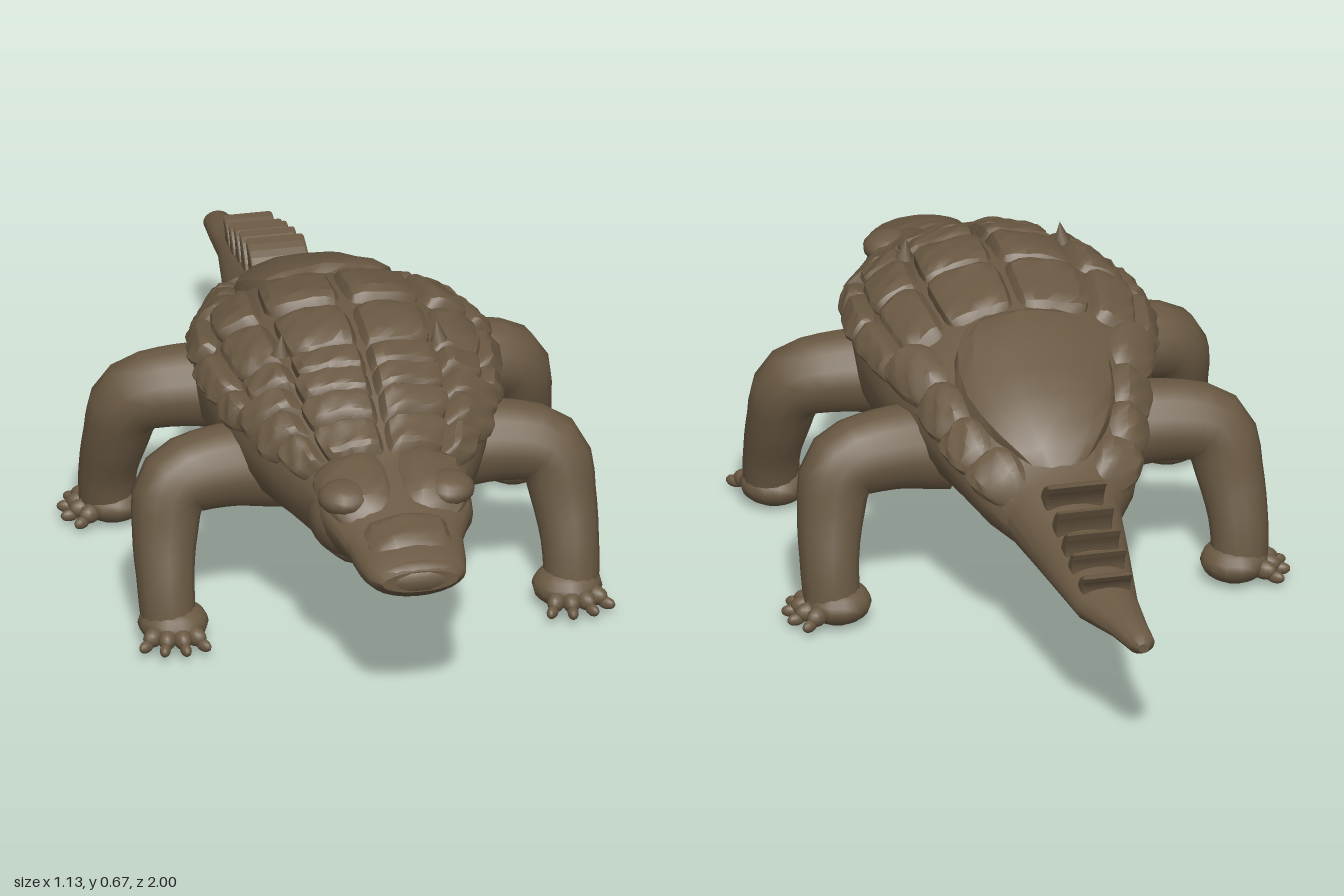
import * as THREE from 'three';
import { toCreasedNormals } from 'three/addons/utils/BufferGeometryUtils.js';

const hide = new THREE.MeshStandardMaterial({ color: 0x6a5943 });
hide.name = 'brown hide';

// Body cross-sections: z, centre x, half width, bottom, widest height, top
const SECTIONS = [
  [-1, -.04, .012, .268, .28, .29], [-.975, -.04, .03, .255, .28, .305], [-.9, -.03, .042, .255, .28, .312],
  [-.8, -.005, .07, .25, .29, .335], [-.6, -.005, .1, .245, .3, .375], [-.42, 0, .128, .24, .32, .42],
  [-.36, 0, .175, .24, .36, .455], [-.25, 0, .215, .25, .39, .53], [-.1, 0, .26, .23, .43, .595],
  [0, 0, .3, .2, .45, .632], [.16, 0, .325, .182, .465, .652], [.3, 0, .305, .197, .455, .645],
  [.42, 0, .275, .23, .44, .615], [.52, 0, .235, .248, .42, .572], [.6, 0, .19, .24, .4, .518],
  [.68, 0, .172, .25, .41, .487], [.76, 0, .163, .285, .41, .468], [.82, 0, .13, .298, .375, .44],
  [.9, 0, .12, .295, .365, .42], [.96, 0, .108, .315, .365, .407], [.99, 0, .085, .34, .365, .39],
];

function sectionAt(z) {
  let i = 0;
  while (i < SECTIONS.length - 2 && SECTIONS[i + 1][0] < z) i++;
  const a = SECTIONS[i], b = SECTIONS[i + 1];
  const t = THREE.MathUtils.clamp((z - a[0]) / (b[0] - a[0]), 0, 1);
  return a.map((v, k) => v + (b[k] - v) * t);
}

// Point on the body; angle 0 is the top of the back, positive towards +x
function bodyPoint(z, angle, lift = 0) {
  const [, cx, w, bottom, mid, top] = sectionAt(z);
  const s = Math.sin(angle), c = Math.cos(angle);
  return new THREE.Vector3(cx + s * (w + lift), mid + c * ((c > 0 ? top - mid : mid - bottom) + lift), z);
}

// Skin a grid of points
function skin(rows, crease = 0.6) {
  const n = rows[0].length, index = [];
  for (let i = 0; i < rows.length - 1; i++) {
    for (let j = 0; j < n - 1; j++) {
      const a = i * n + j, b = a + n;
      index.push(a, b, a + 1, b, b + 1, a + 1);
    }
  }
  const g = new THREE.BufferGeometry().setFromPoints(rows.flat());
  g.setIndex(index);
  return toCreasedNormals(g, crease);
}

function add(parent, name, geometry, pos = [0, 0, 0]) {
  const mesh = new THREE.Mesh(geometry, hide);
  mesh.name = name;
  mesh.position.set(...pos);
  parent.add(mesh);
  return mesh;
}

function blob(parent, name, pos, scale) {
  const m = add(parent, name, new THREE.SphereGeometry(1, 14, 10), pos);
  m.scale.set(...scale);
  return m;
}

// Closed body from tail tip to snout
function bodyGeometry() {
  const SEG = 24;
  const ring = f => Array.from({ length: SEG + 1 }, (_, j) => f(j / SEG * Math.PI * 2));
  const pole = ([z, x, , , y]) => ring(() => new THREE.Vector3(x, y, z));
  const rows = SECTIONS.map(([z]) => ring(a => bodyPoint(z, a)));
  return skin([pole(SECTIONS[0]), ...rows, pole(SECTIONS[SECTIONS.length - 1])], 0.6);
}

// Cushion-like armour plate lying on the body, angles in degrees
function plate(parent, name, z0, z1, a0, a1, thick = .03, { taper = 0, chevron = 0, power = 6, tilt = 0 } = {}) {
  const N = 10, rows = [], mid = (a0 + a1) / 2, half = Math.abs(a1 - a0) / 2;
  const ease = k => Math.sin((k / N - .5) * Math.PI);
  for (let i = 0; i <= N; i++) {
    const v = ease(i), row = [];
    for (let j = 0; j <= N; j++) {
      const u = ease(j);
      const deg = mid + half * u * (1 - taper * v * v) * (1 - .08 * v ** 4);
      const z = (z0 + z1) / 2 + (z1 - z0) / 2 * v * (1 - .12 * u ** 4) - chevron * Math.abs(deg) / 60;
      const dome = (1 - Math.abs(u) ** power) * (1 - Math.abs(v) ** power);
      const rough = .005 * Math.sin(deg * .3 + z * 47) * Math.sin(z * 63 + deg * .1) + tilt * v;
      row.push(bodyPoint(z, THREE.MathUtils.degToRad(deg), -.015 + (thick + .015 + rough) * dome));
    }
    rows.push(row);
  }
  add(parent, name, skin(rows, 0.5));
}

// Tapered limb along a smooth path of [x, y, z, radius]
function limbGeometry(points) {
  const curve = new THREE.CatmullRomCurve3(points.map(p => new THREE.Vector3(p[0], p[1], p[2])), false, 'centripetal');
  const STEPS = 16, SEG = 14, frames = curve.computeFrenetFrames(STEPS), rows = [];
  for (let i = 0; i <= STEPS; i++) {
    const t = i / STEPS, c = curve.getPointAt(t), f = t * (points.length - 1);
    const k = Math.min(Math.floor(f), points.length - 2);
    const r = THREE.MathUtils.lerp(points[k][3], points[k + 1][3], f - k);
    rows.push(Array.from({ length: SEG + 1 }, (_, j) => {
      const a = j / SEG * Math.PI * 2;
      return c.clone().addScaledVector(frames.normals[i], Math.cos(a) * r)
        .addScaledVector(frames.binormals[i], -Math.sin(a) * r);
    }));
  }
  return skin(rows, 0.7);
}

function leg(parent, name, side, path, footX, footZ, heading) {
  const g = new THREE.Group();
  g.name = name;
  add(g, 'limb', limbGeometry(path.map(([x, y, z, r]) => [x * side, y, z, r])));
  // Foot with stubby toes fanned out around the heading
  const foot = new THREE.Group();
  foot.name = 'foot';
  foot.position.set(footX * side, 0, footZ);
  foot.rotation.y = heading * side;
  blob(foot, 'pad', [0, .05, 0], [.078, .047, .076]);
  for (let i = 0; i < 4; i++) {
    const a = (i - 1.5) * .45, dx = Math.sin(a), dz = Math.cos(a);
    blob(foot, 'toe', [dx * .072, .04, dz * .072], [.02, .022, .03]).rotation.y = a;
    blob(foot, 'claw', [dx * .1, .028, dz * .1], [.012, .014, .022]).rotation.y = a;
  }
  g.add(foot);
  parent.add(g);
}

// Hooked tail spine sweeping backwards
function spineGeometry(width, length, height) {
  const s = new THREE.Shape();
  s.moveTo(0, -.012);
  s.quadraticCurveTo(length * .35, height * .8, length, height);
  s.quadraticCurveTo(length * .65, height * .35, length * .6, -.012);
  const g = new THREE.ExtrudeGeometry(s, {
    depth: width - .012, steps: 1, curveSegments: 6, bevelThickness: .006, bevelSize: .005, bevelSegments: 2,
  });
  g.translate(0, 0, -width / 2 + .006);
  return g.rotateY(Math.PI / 2);
}

export function createModel() {
  const model = new THREE.Group();
  model.name = 'armouredReptile';
  add(model, 'body', bodyGeometry());

  const armour = new THREE.Group();
  armour.name = 'armour';
  model.add(armour);

  // Transverse rows of back plates: z range, thickness, angle limits
  const ROWS = [
    [.555, .645, .026, [0, 44, 72]],
    [.495, .575, .032, [0, 42, 80]],
    [.435, .515, .034, [0, 38, 78]],
    [.365, .455, .03, [0, 34, 60, 82]],
    [.2, .38, .026, [0, 33, 60, 80]],
    [.0, .205, .024, [0, 33, 58, 78]],
  ];
  for (const [z0, z1, thick, angles] of ROWS) {
    for (let i = 0; i < angles.length - 1; i++) {
      for (const s of [1, -1]) {
        plate(armour, 'backPlate', z0, z1, angles[i] * s, angles[i + 1] * s, thick + i * .005,
          { chevron: .03, power: 8, tilt: .004 });
      }
    }
  }

  // Pelvic shield with lobed scutes along its rim
  plate(armour, 'pelvicShield', -.4, .015, -50, 50, .026, { taper: .5, power: 8 });
  const RIM = [[-.13, .03, 42, 80], [-.24, -.1, 42, 82], [-.33, -.21, 40, 84], [-.41, -.31, 26, 84]];
  for (const s of [1, -1]) {
    for (const [z0, z1, a, b] of RIM) {
      plate(armour, 'rimScute', z0, z1, a * s, b * s, .032, { taper: .25, power: 5 });
    }
    // Small shoulder spikes
    const spike = add(armour, 'shoulderSpike', new THREE.ConeGeometry(.02, .05, 8), [.175 * s, .642, .34]);
    spike.rotation.z = .1 * s;
  }

  // Head: broad skull plates, low brows, cheeks and blunt snout
  const head = new THREE.Group();
  head.name = 'head';
  model.add(head);
  for (const s of [1, -1]) {
    plate(head, 'skullPlate', .6, .81, 0, 76 * s, .022, { taper: .12, power: 4 });
    blob(head, 'brow', [.115 * s, .455, .73], [.06, .036, .06]);
    blob(head, 'cheek', [.11 * s, .38, .67], [.072, .08, .11]);
  }
  plate(head, 'snoutPlate', .8, .93, -60, 60, .012, { power: 4 });
  blob(head, 'snoutTip', [0, .365, .96], [.103, .04, .037]);
  blob(head, 'throat', [0, .3, .64], [.14, .055, .09]);

  // Spines along the tail: front z, width, length, height
  for (const [z, w, l, h] of [[-.445, .13, .085, .05], [-.545, .125, .065, .05], [-.62, .12, .06, .045],
    [-.685, .12, .05, .035], [-.755, .11, .06, .03]]) {
    add(model, 'tailSpine', spineGeometry(w, l, h), [-.005, sectionAt(z - l / 2)[5], z]);
  }

  for (const [word, s] of [['left', 1], ['right', -1]]) {
    leg(model, word + 'FrontLeg', s, [[.18, .35, .33, .1], [.31, .36, .34, .094], [.42, .335, .36, .086],
      [.446, .23, .395, .074], [.452, .13, .435, .064], [.45, .045, .455, .06]], .44, .455, .15);
    leg(model, word + 'HindLeg', s, [[.18, .35, -.05, .1], [.31, .36, -.06, .094], [.42, .335, -.075, .087],
      [.45, .23, -.105, .076], [.46, .13, -.14, .066], [.458, .045, -.155, .062]], .447, -.155, 1.6);
  }
  return model;
}
